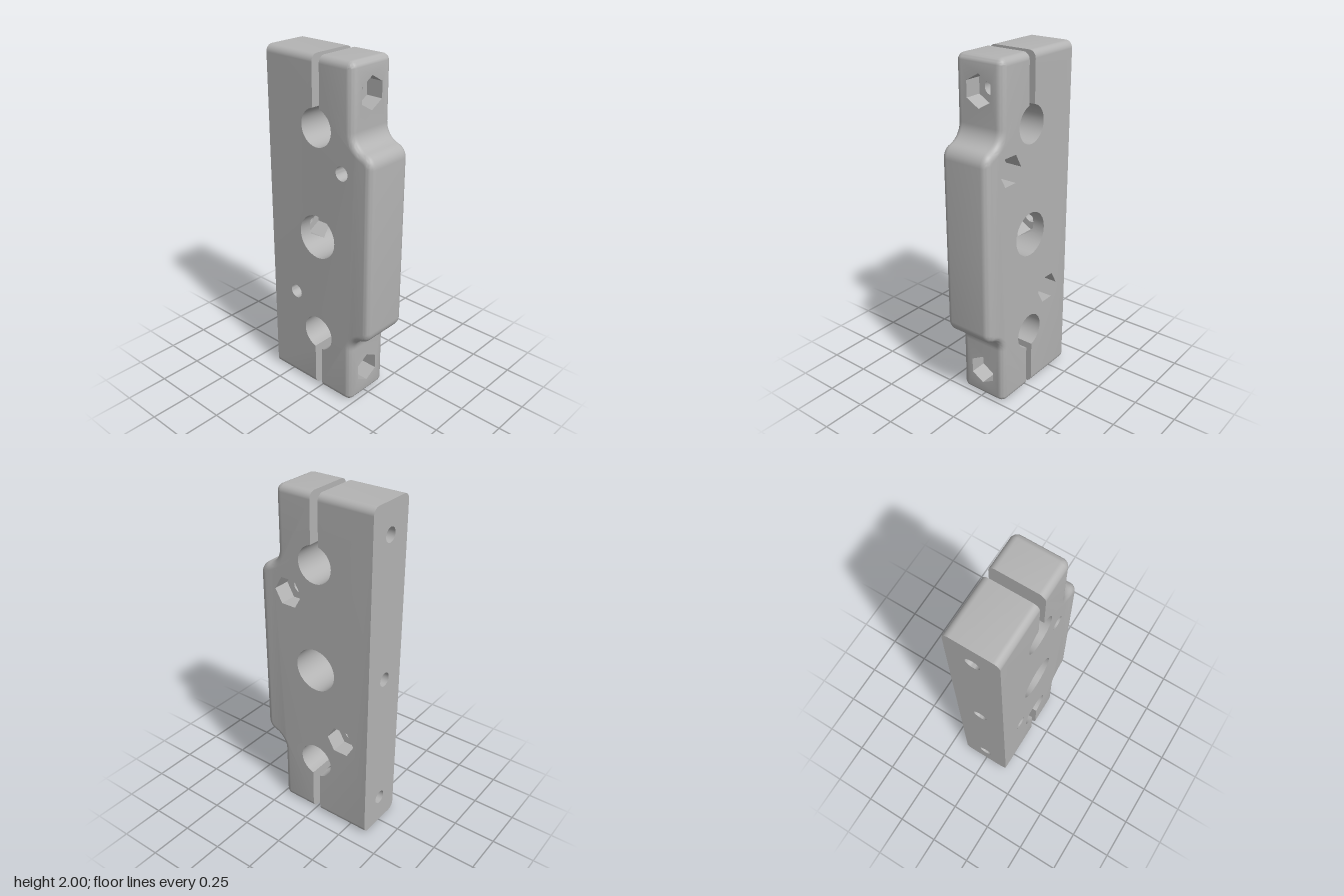
import * as THREE from 'three';
import { toCreasedNormals } from 'three/addons/utils/BufferGeometryUtils.js';

const HALF = 0.15, FILLET = 0.04, FRONT = 0.363, STEP = 0.235, BACK = -0.363;
const BORE_Z = -0.011, SLOT = 0.025, CLAMP_Y = 1.625, CLAMP_R = 0.105, MID_R = 0.127;
const BOLT_Y = 1.825, BOLT_R = 0.041, NUT_R = 0.089, NUT_DEPTH = 0.1;
const MID_FLOOR = -0.22;
const SLOT_FRONT = BORE_Z + SLOT, SLOT_BACK = BORE_Z - SLOT;
const SIDE_BOLTS = [[0.167, 1.42], [-0.184, 0.59]];

// Collects triangles; with mirror on, each is repeated upside down about y = 1
class Surface {
  constructor() { this.pos = []; }
  tri(a, b, c, mirror = false) {
    const [A, B, C] = [a, b, c].map((p) => new THREE.Vector3(...p));
    if (B.sub(A).cross(C.sub(A)).length() < 1e-10) return;
    this.pos.push(...a, ...b, ...c);
    if (mirror) for (const p of [a, c, b]) this.pos.push(p[0], 2 - p[1], p[2]);
  }
  quad(a, b, c, d, mirror) {
    this.tri(a, b, c, mirror);
    this.tri(a, c, d, mirror);
  }
  // Flat face with holes, placed in space by map
  plate(outline, holes, map, flip, mirror) {
    const vec = (pts) => pts.map((p) => new THREE.Vector2(p[0], p[1]));
    const shape = new THREE.Shape(vec(outline));
    shape.holes = holes.map((h) => new THREE.Path(vec(h)));
    const geo = new THREE.ShapeGeometry(shape);
    const at = geo.attributes.position, idx = geo.index;
    for (let i = 0; i < idx.count; i += 3) {
      const [a, b, c] = [0, 1, 2].map((j) => map(at.getX(idx.getX(i + j)), at.getY(idx.getX(i + j))));
      if (flip) this.tri(a, c, b, mirror); else this.tri(a, b, c, mirror);
    }
  }
  // Inward-facing wall along a loop
  bore(loop, mapA, mapB, mirror) {
    loop.forEach((p, i) => {
      const q = loop[(i + 1) % loop.length];
      this.quad(mapA(...p), mapA(...q), mapB(...q), mapB(...p), mirror);
    });
  }
  mesh(name, material) {
    const geo = new THREE.BufferGeometry();
    geo.setAttribute('position', new THREE.Float32BufferAttribute(this.pos, 3));
    const mesh = new THREE.Mesh(toCreasedNormals(geo, 0.5), material);
    mesh.name = name;
    return mesh;
  }
}

const atX = (x) => (z, y) => [x, y, z];
const atZ = (z) => (x, y) => [x, y, z];

function arc(cu, cv, r, a0, a1, n) {
  return Array.from({ length: n + 1 }, (_, i) => {
    const a = a0 + ((a1 - a0) * i) / n;
    return [cu + r * Math.cos(a), cv + r * Math.sin(a)];
  });
}
const ring = (u, v, r, n, turn = 0) => arc(u, v, r, turn, turn + Math.PI * 2, n).slice(0, n);
const circle = (u, v) => ring(u, v, BOLT_R, 28);

// Upper half of the side profile as (z, y), inset by d; third entry tags the segment that follows
function halfProfile(d) {
  const cz = FRONT - 0.075, cy = 1.48, r = 0.175;
  const t = Math.acos((STEP + 0.1 - cz) / r);
  const gap = Math.asin(SLOT / CLAMP_R), PI = Math.PI;
  const sweep = arc(cz + r * Math.cos(t), cy + r * Math.sin(t), 0.1 + d, t + PI, PI, 10);
  sweep[sweep.length - 1].push('front');
  const clamp = arc(BORE_Z, CLAMP_Y, CLAMP_R, PI / 2 - gap, gap - PI * 1.5, 40);
  clamp[clamp.length - 1].push('slot');
  return [
    [FRONT - d, 1],
    ...arc(cz, cy, 0.075 - d, 0, t, 8),
    ...sweep,
    ...arc(STEP - FILLET, 2 - FILLET, FILLET - d, 0, PI / 2, 8),
    [SLOT_FRONT, 2 - d, 'slot'],
    ...clamp,
    [SLOT_BACK, 2 - d],
    [BACK, 2 - d],
  ];
}

// Cross-sections over the width, rounded towards both sides
function makeSections() {
  const n = 8, right = [];
  for (let k = 0; k <= n; k++) {
    const a = (k / n) * Math.PI / 2;
    right.push({ x: HALF - FILLET + FILLET * Math.sin(a), d: FILLET * (1 - Math.cos(a)) });
  }
  const left = right.map((s) => ({ x: -s.x, d: s.d })).reverse();
  return [...left, ...right];
}

// Angles round the middle bore, including the corners of the nut pocket in its back wall
function middleAngles() {
  const list = Array.from({ length: 48 }, (_, i) => (i / 48) * Math.PI * 2);
  for (const h of [NUT_R, NUT_R / 2]) {
    const a = Math.asin(h / MID_R);
    list.push(Math.PI - a, Math.PI + a);
  }
  return list.sort((a, b) => a - b);
}

function buildBody(middle) {
  const body = new Surface(), sections = makeSections();
  const profiles = sections.map((s) => halfProfile(s.d));

  // Rounded outer skin and clamp bores
  for (let k = 0; k < sections.length - 1; k++) {
    const P = profiles[k], Q = profiles[k + 1];
    const m0 = atX(sections[k].x), m1 = atX(sections[k + 1].x);
    const flat = sections[k].d === 0 && sections[k + 1].d === 0;
    for (let i = 0; i < P.length - 1; i++) {
      if (P[i][2] === 'slot' || (P[i][2] === 'front' && flat)) continue;
      body.quad(m0(...P[i]), m1(...Q[i]), m1(...Q[i + 1]), m0(...P[i + 1]), true);
    }
  }

  // Stepped front faces with the nut opening
  const base = halfProfile(0), f = base.findIndex((p) => p[2] === 'front');
  const w = HALF - FILLET, lo = base[f][1], hi = base[f + 1][1];
  body.plate([[-w, lo], [w, lo], [w, hi], [-w, hi]],
    [ring(0, BOLT_Y, NUT_R, 6, Math.PI / 2)], atZ(STEP), false, true);

  // Slot walls
  const top = sections.map((s) => [s.x, 2 - s.d]);
  const slotEnd = CLAMP_Y + Math.sqrt(CLAMP_R ** 2 - SLOT ** 2);
  const wall = [[HALF, slotEnd], ...[...top].reverse(), [-HALF, slotEnd]];
  body.plate(wall, [circle(0, BOLT_Y)], atZ(SLOT_FRONT), true, true);
  body.plate(wall, [circle(0, BOLT_Y)], atZ(SLOT_BACK), false, true);

  // Back face
  const bottom = top.map(([x, y]) => [x, 2 - y]);
  body.plate([...bottom, ...[...top].reverse()],
    [BOLT_Y, 1, 2 - BOLT_Y].map((y) => circle(0, y)), atZ(BACK), true);

  // Side faces: nut openings on the left, plain bolt holes on the right
  const half = halfProfile(FILLET);
  const outline = [...half, ...half.map(([z, y]) => [z, 2 - y]).reverse()];
  const midLoop = middle.map((a) => [BORE_Z + MID_R * Math.cos(a), 1 + MID_R * Math.sin(a)]);
  body.plate(outline, [midLoop, ...SIDE_BOLTS.map(([z, y]) => ring(z, y, NUT_R, 6))], atX(HALF), true);
  body.plate(outline, [midLoop, ...SIDE_BOLTS.map(([z, y]) => circle(z, y))], atX(-HALF), false);
  return body;
}

// Middle bore with a hexagonal nut pocket cut into its back wall
function buildMiddleBore(middle) {
  const s = new Surface();
  const edge = middle.map((a) => {
    const dy = MID_R * Math.sin(a), z = BORE_Z + MID_R * Math.cos(a);
    const w = Math.min(NUT_R * Math.sqrt(0.75), Math.sqrt(3) * (NUT_R - Math.abs(dy)));
    return { y: 1 + dy, z, w: Math.cos(a) < 0 && w > 1e-9 ? w : 0 };
  });
  edge.forEach((p, i) => {
    const q = edge[(i + 1) % edge.length];
    s.quad([p.w, p.y, p.z], [q.w, q.y, q.z], [HALF, q.y, q.z], [HALF, p.y, p.z]);
    s.quad([-HALF, p.y, p.z], [-HALF, q.y, q.z], [-q.w, q.y, q.z], [-p.w, p.y, p.z]);
    if (p.w + q.w === 0) return;
    s.quad([p.w, p.y, p.z], [p.w, p.y, MID_FLOOR], [q.w, q.y, MID_FLOOR], [q.w, q.y, q.z]);
    s.quad([-p.w, p.y, p.z], [-q.w, q.y, q.z], [-q.w, q.y, MID_FLOOR], [-p.w, p.y, MID_FLOOR]);
  });
  s.plate(ring(0, 1, NUT_R, 6, Math.PI / 2), [circle(0, 1)], atZ(MID_FLOOR), false);
  s.bore(circle(0, 1), atZ(MID_FLOOR), atZ(BACK));
  return s;
}

export function createModel() {
  const group = new THREE.Group();
  group.name = 'clampBlock';
  const grey = new THREE.MeshStandardMaterial({ color: 0xb3b3b3 });
  grey.name = 'plain grey';
  const middle = middleAngles();

  // Clamp bolts running front to back across the slots
  const clampBolts = new Surface(), floor = STEP - NUT_DEPTH;
  const nut = ring(0, BOLT_Y, NUT_R, 6, Math.PI / 2), shank = circle(0, BOLT_Y);
  clampBolts.bore(nut, atZ(STEP), atZ(floor), true);
  clampBolts.plate(nut, [shank], atZ(floor), false, true);
  clampBolts.bore(shank, atZ(floor), atZ(SLOT_FRONT), true);
  clampBolts.bore(shank, atZ(SLOT_BACK), atZ(BACK), true);

  // Bolts running side to side
  const sideBolts = new Surface(), inner = HALF - NUT_DEPTH;
  for (const [z, y] of SIDE_BOLTS) {
    sideBolts.bore(ring(z, y, NUT_R, 6), atX(inner), atX(HALF));
    sideBolts.plate(ring(z, y, NUT_R, 6), [circle(z, y)], atX(inner), true);
    sideBolts.bore(circle(z, y), atX(-HALF), atX(inner));
  }

  group.add(
    buildBody(middle).mesh('body', grey),
    buildMiddleBore(middle).mesh('middleBore', grey),
    clampBolts.mesh('clampBoltHoles', grey),
    sideBolts.mesh('sideBoltHoles', grey),
  );
  return group;
}
